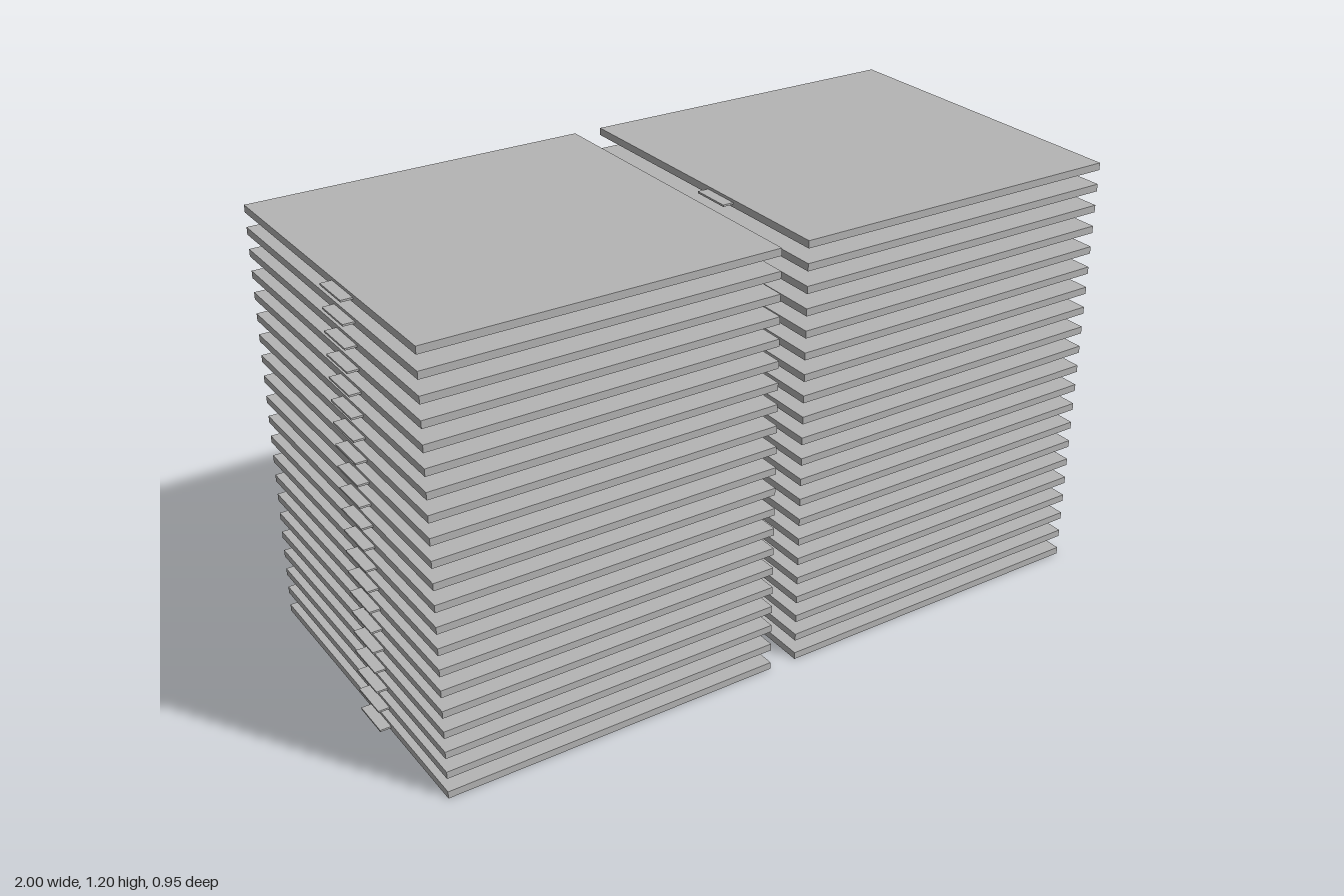
import * as THREE from 'three';

const LAYERS = 21, TOP = 1.2;
const WIDTH = 0.946, DEPTH = 0.948, THICK = 0.02;
const TAB = { width: 0.03, height: 0.005, depth: 0.112, z: 0.106 };

export function createModel() {
  const model = new THREE.Group();
  model.name = 'panelStacks';
  const grey = new THREE.MeshStandardMaterial({ color: 0xb4b4b4 });
  grey.name = 'grey';

  const panelGeometry = new THREE.BoxGeometry(WIDTH, THICK, DEPTH);
  const tabGeometry = new THREE.BoxGeometry(TAB.width, TAB.height, TAB.depth);
  const pitch = (TOP - THICK) / (LAYERS - 1);

  // Two side-by-side stacks, each given by the x of its left-hand panel edge
  for (const [name, edge] of [['rightStack', -0.971], ['leftStack', 1 - WIDTH]]) {
    const stack = new THREE.Group();
    stack.name = name;
    for (let i = 0; i < LAYERS; i++) {
      const y = THICK / 2 + i * pitch;

      // Thin square panel
      const panel = new THREE.Mesh(panelGeometry, grey);
      panel.name = 'panel';
      panel.position.set(edge + WIDTH / 2, y, 0);

      // Small tab on the -x edge
      const tab = new THREE.Mesh(tabGeometry, grey);
      tab.name = 'tab';
      tab.position.set(edge - TAB.width / 2, y, TAB.z);

      stack.add(panel, tab);
    }
    model.add(stack);
  }
  return model;
}
